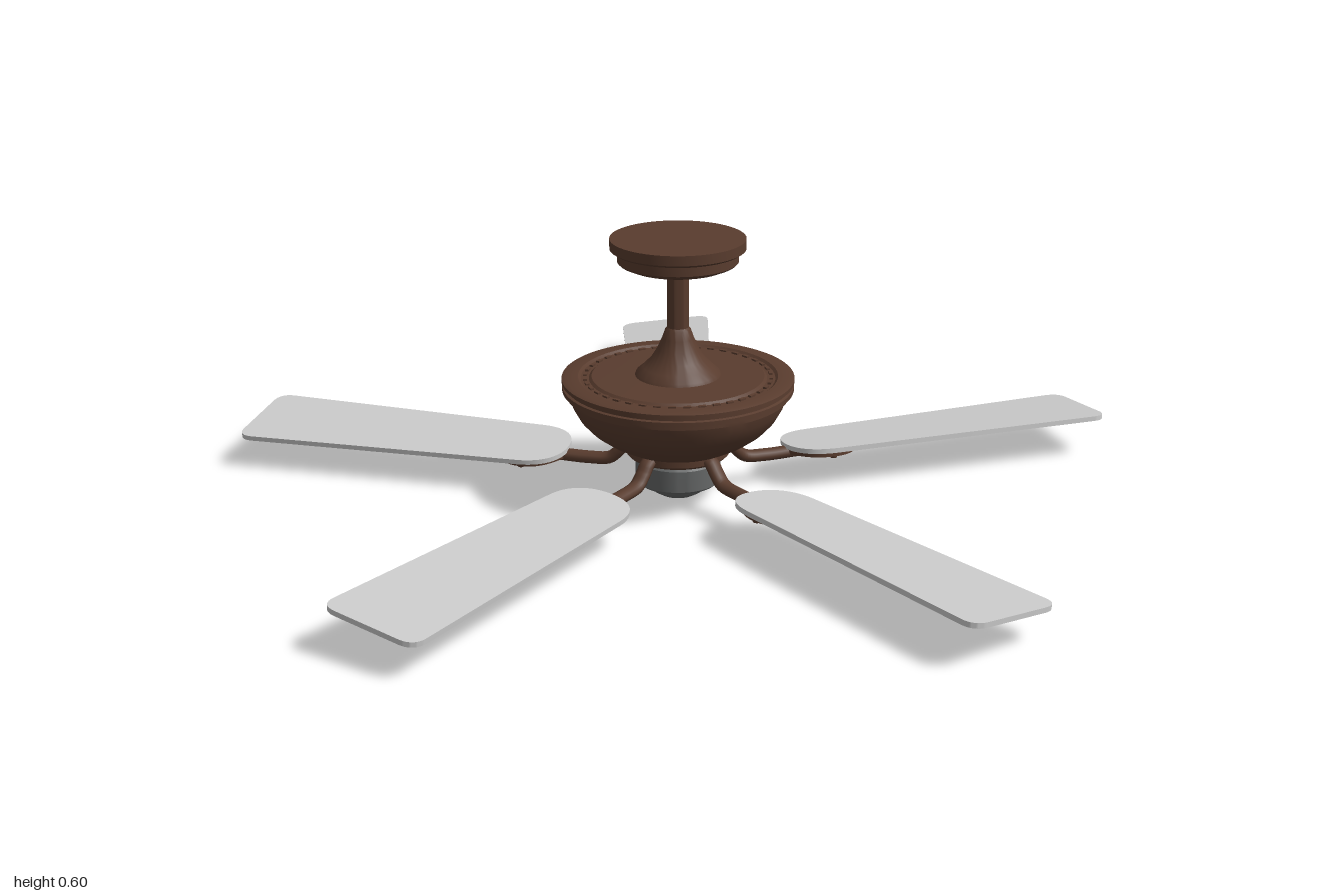
import * as THREE from 'three';
import { toCreasedNormals } from 'three/addons/utils/BufferGeometryUtils.js';

const bronze = new THREE.MeshStandardMaterial({ color: 0x593c2e });
const steel = new THREE.MeshStandardMaterial({ color: 0x666868 });
const grey = new THREE.MeshStandardMaterial({ color: 0xcccccc });

function add(parent, name, geometry, material) {
  const mesh = new THREE.Mesh(geometry, material);
  mesh.name = name;
  parent.add(mesh);
  return mesh;
}

// Turned part from [radius, height] pairs, bottom to top
function turned(parent, name, profile, material) {
  const points = profile.map(([r, y]) => new THREE.Vector2(r, y));
  return add(parent, name, toCreasedNormals(new THREE.LatheGeometry(points, 64), 0.5), material);
}

// Flat plate: shape x runs outward, thickness rises from y
function plate(shape, thickness, y) {
  const g = new THREE.ExtrudeGeometry(shape, { depth: thickness, bevelEnabled: false, curveSegments: 12 });
  g.rotateX(-Math.PI / 2).translate(0, y, 0);
  return toCreasedNormals(g, 0.6);
}

// Tapered blade with a round root and small rounded tip corners
function bladeShape() {
  const s = new THREE.Shape();
  s.moveTo(0.257, 0);
  s.bezierCurveTo(0.257, -0.055, 0.29, -0.09, 0.35, -0.092);
  s.lineTo(0.99, -0.114);
  s.quadraticCurveTo(1.025, -0.115, 1.027, -0.08);
  s.lineTo(1.027, 0.08);
  s.quadraticCurveTo(1.025, 0.115, 0.99, 0.114);
  s.lineTo(0.35, 0.092);
  s.bezierCurveTo(0.29, 0.09, 0.257, 0.055, 0.257, 0);
  return s;
}

// Pointed oval bracket, pierced on both sides of a central spine
function bracketShape() {
  const s = new THREE.Shape();
  s.moveTo(0.25, 0);
  s.bezierCurveTo(0.28, -0.03, 0.29, -0.075, 0.35, -0.075);
  s.bezierCurveTo(0.4, -0.075, 0.42, -0.03, 0.445, 0);
  s.bezierCurveTo(0.42, 0.03, 0.4, 0.075, 0.35, 0.075);
  s.bezierCurveTo(0.29, 0.075, 0.28, 0.03, 0.25, 0);
  for (const m of [-1, 1]) {
    const hole = new THREE.Path();
    hole.moveTo(0.29, 0.014 * m);
    hole.bezierCurveTo(0.31, 0.04 * m, 0.32, 0.054 * m, 0.35, 0.054 * m);
    hole.bezierCurveTo(0.38, 0.054 * m, 0.395, 0.03 * m, 0.408, 0.014 * m);
    hole.lineTo(0.29, 0.014 * m);
    s.holes.push(hole);
  }
  return s;
}

function bladeAssembly(parts) {
  const arm = new THREE.Group();
  arm.name = 'bladeAssembly';
  add(arm, 'bladeArm', parts.arm, bronze);
  // Blade and bracket share the same pitch
  const pitched = new THREE.Group();
  pitched.name = 'pitchedBlade';
  pitched.position.y = 0.083;
  pitched.rotation.x = -0.1;
  add(pitched, 'blade', parts.blade, grey);
  add(pitched, 'bladeBracket', parts.bracket, bronze);
  for (const [x, z] of [[0.3, 0], [0.35, 0.064], [0.35, -0.064], [0.41, 0]]) {
    add(pitched, 'screw', parts.screw, bronze).position.set(x, -0.02, z);
  }
  arm.add(pitched);
  return arm;
}

export function createModel() {
  const model = new THREE.Group();
  const fan = new THREE.Group();
  fan.name = 'ceilingFan';
  fan.position.set(-0.016, 0, 0.053);
  model.add(fan);

  // Ceiling mount and rod
  turned(fan, 'canopy', [[0, 0.533], [0.11, 0.533], [0.128, 0.541], [0.132, 0.545], [0.132, 0.565],
    [0.141, 0.568], [0.148, 0.573], [0.148, 0.595], [0, 0.595]], bronze);
  turned(fan, 'downRod', [[0.024, 0.37], [0.024, 0.54]], bronze);
  turned(fan, 'rodFlare', [[0.097, 0.28], [0.092, 0.292], [0.077, 0.305], [0.06, 0.323], [0.046, 0.345],
    [0.035, 0.37], [0.028, 0.39], [0.023, 0.396]], bronze);

  // Motor bowl with stepped rim bands and a recessed top ring
  turned(fan, 'motorHousing', [[0, 0.125], [0.125, 0.125], [0.135, 0.13], [0.165, 0.146], [0.195, 0.168],
    [0.218, 0.193], [0.233, 0.22], [0.239, 0.242], [0.247, 0.244], [0.247, 0.252], [0.255, 0.254],
    [0.255, 0.264], [0.249, 0.266], [0.249, 0.271], [0.256, 0.273], [0.256, 0.281], [0.248, 0.284],
    [0.22, 0.284], [0.214, 0.279], [0.196, 0.279], [0.19, 0.284], [0.1, 0.286], [0, 0.286]], bronze);
  const bead = new THREE.BoxGeometry(0.008, 0.006, 0.016);
  for (let i = 0; i < 40; i++) {
    const a = (i / 40) * Math.PI * 2;
    const m = add(fan, 'ventBead', bead, bronze);
    m.position.set(Math.cos(a) * 0.205, 0.28, Math.sin(a) * 0.205);
    m.rotation.y = -a;
  }

  // Parts below the motor
  turned(fan, 'flywheel', [[0, 0.102], [0.11, 0.102], [0.115, 0.107], [0.115, 0.128]], bronze);
  turned(fan, 'switchHousing', [[0, 0.036], [0.088, 0.036], [0.095, 0.042], [0.095, 0.09],
    [0.09, 0.096], [0.09, 0.112], [0, 0.112]], steel);
  turned(fan, 'bottomCap', [[0, 0], [0.02, 0.001], [0.04, 0.007], [0.057, 0.017], [0.068, 0.03], [0.07, 0.038]], steel);

  // Five blades on curved arms
  const curve = new THREE.CatmullRomCurve3([[0.085, 0.117], [0.118, 0.112], [0.137, 0.092], [0.16, 0.073],
    [0.21, 0.068], [0.285, 0.069]].map(([x, y]) => new THREE.Vector3(x, y, 0)));
  const parts = {
    arm: new THREE.TubeGeometry(curve, 28, 0.014, 10, false).scale(1, 1, 1.25),
    blade: plate(bladeShape(), 0.011, -0.005),
    bracket: plate(bracketShape(), 0.013, -0.018),
    screw: new THREE.CylinderGeometry(0.009, 0.007, 0.006, 12),
  };
  for (let i = 0; i < 5; i++) {
    const assembly = bladeAssembly(parts);
    assembly.rotation.y = THREE.MathUtils.degToRad(14.4 + 72 * i);
    fan.add(assembly);
  }
  return model;
}
